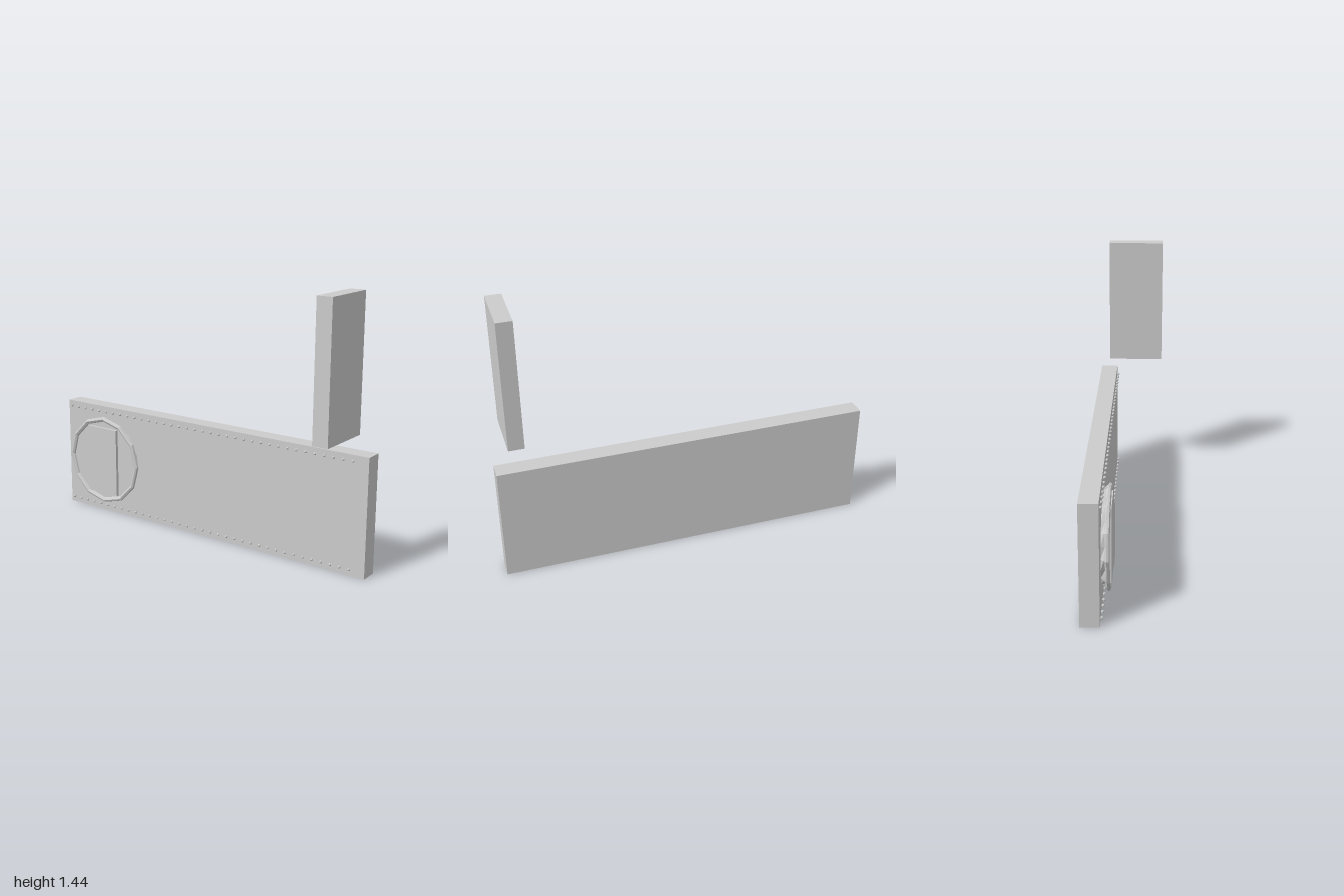
import * as THREE from 'three';

const material = new THREE.MeshStandardMaterial({ color: 0xcccccc, flatShading: true });
const thin = new THREE.MeshStandardMaterial({ color: 0xcccccc, side: THREE.DoubleSide });

function add(parent, name, geometry, x, y, z, mat = material) {
  const mesh = new THREE.Mesh(geometry, mat);
  mesh.name = name;
  mesh.position.set(x, y, z);
  parent.add(mesh);
  return mesh;
}

// Twelve-sided cap: recessed face, raised rim and a crimped skirt
function capGeometry() {
  const sides = 12;
  const profile = [[0.228, 0.002], [0.245, 0.016], [0.26, 0.03], [0.257, 0.04], [0.247, 0.045], [0.235, 0.038], [0.232, 0.03], [0, 0.03]]
    .map(([r, z]) => new THREE.Vector2(r, z));
  const geometry = new THREE.LatheGeometry(profile, sides * 2);
  const p = geometry.attributes.position;
  const chord = Math.cos(Math.PI / sides);
  for (let i = 0; i < p.count; i++) {
    const ring = i % profile.length;
    const between = Math.floor(i / profile.length) % 2 === 1;
    if (!between) continue;
    // Flatten the rim between corners and pinch the skirt further in
    const k = chord * (ring === 0 ? 1.06 : ring === 1 ? 0.97 : 1);
    p.setX(i, p.getX(i) * k);
    p.setZ(i, p.getZ(i) * k);
    if (ring === 1) p.setY(i, 0.022);
  }
  geometry.rotateX(Math.PI / 2);
  geometry.computeVertexNormals();
  return geometry;
}

export function createModel() {
  const model = new THREE.Group();
  model.name = 'signBoard';

  // Long board
  add(model, 'board', new THREE.BoxGeometry(2, 0.635, 0.095), 0, 0.3175, -0.139);

  // Rivet rows along both edges
  const rivets = new THREE.Group();
  rivets.name = 'rivets';
  model.add(rivets);
  const rivet = new THREE.SphereGeometry(0.008, 6, 4);
  for (const y of [0.035, 0.605]) {
    for (let i = 0; i < 36; i++) add(rivets, 'rivet', rivet, -0.97 + i * 0.0539, y, -0.083);
  }

  // Round badge with a handset on its face
  const badge = new THREE.Group();
  badge.name = 'badge';
  badge.position.set(-0.7, 0.32, -0.091);
  model.add(badge);
  add(badge, 'cap', capGeometry(), 0, 0, 0);
  add(badge, 'handset', new THREE.BoxGeometry(0.207, 0.397, 0.02), 0.002, -0.002, 0.037);
  add(badge, 'screen', new THREE.PlaneGeometry(0.168, 0.31), 0.002, 0.01, 0.055, thin);
  add(badge, 'button', new THREE.CircleGeometry(0.013, 12), 0, -0.173, 0.049, thin);

  // Separate upright panel with a thin inset sheet on its inner side
  add(model, 'sidePanel', new THREE.BoxGeometry(0.084, 0.71, 0.315), 0.882, 1.085, 0.028);
  const sheet = add(model, 'panelSheet', new THREE.PlaneGeometry(0.25, 0.445), 0.838, 1.083, 0.028, thin);
  sheet.rotation.y = -Math.PI / 2;

  return model;
}
